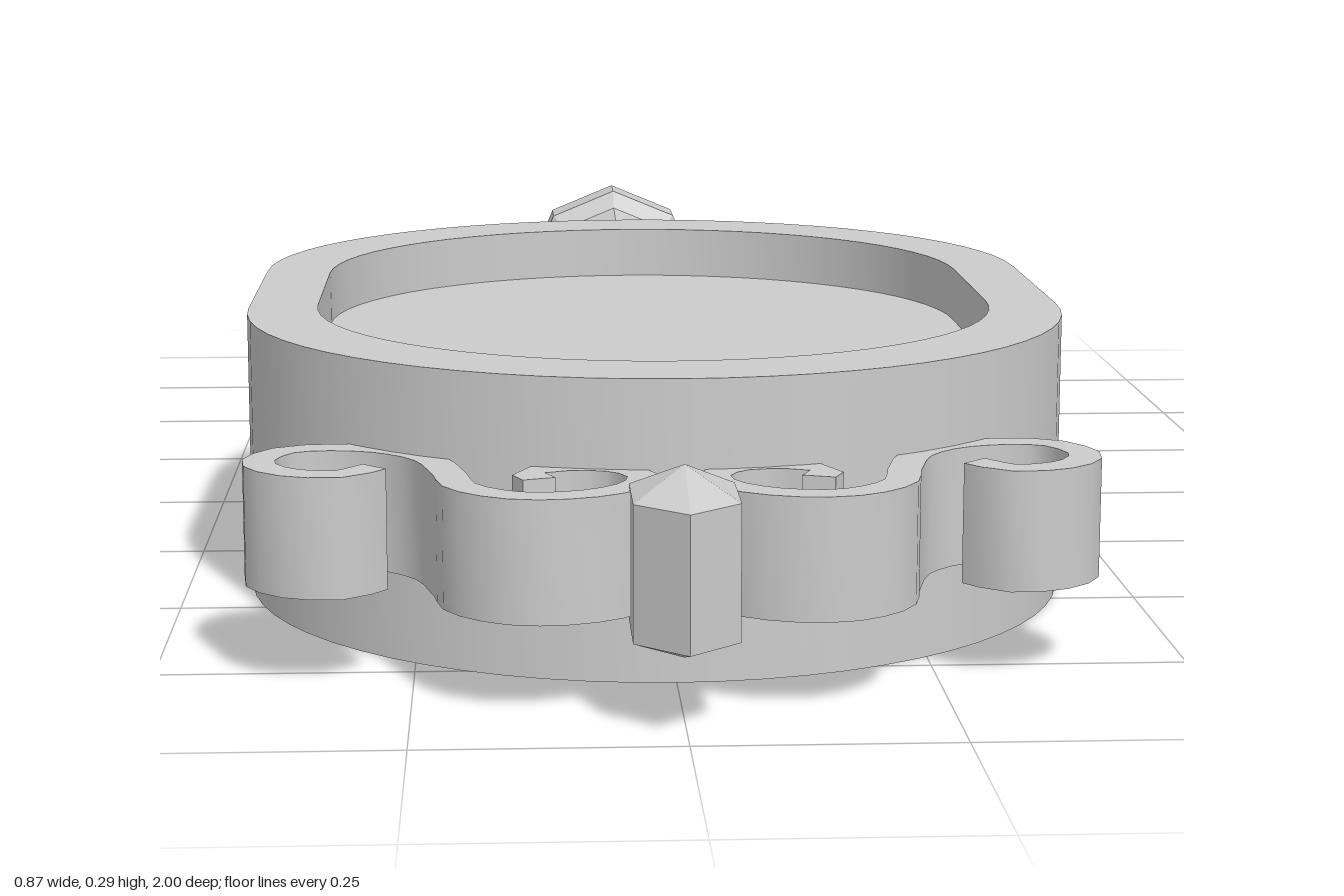
import * as THREE from 'three';
import { toCreasedNormals } from 'three/addons/utils/BufferGeometryUtils.js';

const AXIS_Y = 0.149; // height of the handle and ornament centre line

// Outline of two half circles joined by straight sides, drawn in x/z
function stadium(PathType, radius, halfLength, centreZ = 0.227) {
  const straight = halfLength - radius;
  const path = new PathType();
  path.absarc(0, centreZ + straight, radius, 0, Math.PI, false);
  path.absarc(0, centreZ - straight, radius, Math.PI, Math.PI * 2, false);
  path.closePath();
  return path;
}

// Extrude an x/z shape vertically between two heights
function slab(shape, bottom, top, crease = 0.6) {
  const geo = new THREE.ExtrudeGeometry(shape, {
    depth: top - bottom, bevelEnabled: false, curveSegments: 16,
  });
  geo.rotateX(Math.PI / 2);
  geo.translate(0, top, 0);
  return toCreasedNormals(geo, crease);
}

// Constant-width ribbon shape following a smooth line through [x, z] points
function ribbon(points, width, divisions) {
  const curve = new THREE.CatmullRomCurve3(points.map(([x, z]) => new THREE.Vector3(x, z, 0)));
  const sideA = [], sideB = [];
  for (let i = 0; i <= divisions; i++) {
    const p = curve.getPointAt(i / divisions);
    const t = curve.getTangentAt(i / divisions);
    const nx = -t.y * width / 2, ny = t.x * width / 2;
    sideA.push(new THREE.Vector2(p.x + nx, p.y + ny));
    sideB.unshift(new THREE.Vector2(p.x - nx, p.y - ny));
  }
  return new THREE.Shape([...sideA, ...sideB]);
}

function lathe(profile, sides) {
  return new THREE.LatheGeometry(profile.map(([r, y]) => new THREE.Vector2(r, y)), sides);
}

export function createModel() {
  const group = new THREE.Group();
  const smooth = new THREE.MeshStandardMaterial({ color: 0xcccccc });
  const faceted = new THREE.MeshStandardMaterial({ color: 0xcccccc, flatShading: true });
  const add = (name, geometry, material, parent = group) => {
    const mesh = new THREE.Mesh(geometry, material);
    mesh.name = name;
    parent.add(mesh);
    return mesh;
  };

  // Oval frame with an open centre
  const frame = stadium(THREE.Shape, 0.434, 0.572);
  frame.holes.push(stadium(THREE.Path, 0.361, 0.477));
  add('frame', slab(frame, 0, 0.294), smooth);

  // Mirror plate recessed on both sides
  add('mirrorPlate', slab(stadium(THREE.Shape, 0.361, 0.477), 0.07, 0.235), smooth);

  // Turned handle with collar, tapered grip and pointed pommel
  const handle = lathe([
    [0, 0.3], [0.088, 0.3], [0.088, 0.415], [0.08, 0.432], [0.06, 0.435],
    [0.102, 0.805], [0.124, 0.828], [0.124, 0.9], [0.096, 0.94],
    [0.096, 0.973], [0, 1],
  ], 8);
  handle.rotateX(-Math.PI / 2);
  add('handle', handle, faceted).position.y = AXIS_Y;

  // Scrollwork: outer curl, sweep to the middle and inner curl, mirrored
  const scroll = [
    [0.285, 0.77], [0.317, 0.803], [0.37, 0.79], [0.397, 0.745], [0.375, 0.692],
    [0.33, 0.68], [0.275, 0.695], [0.235, 0.735], [0.215, 0.8], [0.2, 0.862],
    [0.15, 0.902], [0.09, 0.898], [0.045, 0.865], [0.032, 0.825],
    [0.055, 0.79], [0.105, 0.782], [0.14, 0.802], [0.13, 0.832],
  ];
  const ornament = new THREE.Group();
  ornament.name = 'ornament';
  group.add(ornament);
  for (const [name, side] of [['leftScroll', 1], ['rightScroll', -1]]) {
    const shape = ribbon(scroll.map(([x, z]) => [x * side, z]), 0.032, 38);
    add(name, slab(shape, 0.09, 0.207, 0.7), smooth, ornament);
  }

  // Six-sided pointed gem at the front
  const gem = lathe([[0, 0.057], [1, 0.082], [1, 0.21], [0, 0.237]], 6);
  gem.scale(0.056, 1, 0.087);
  add('gem', gem, faceted, ornament).position.z = 0.913;

  return group;
}
